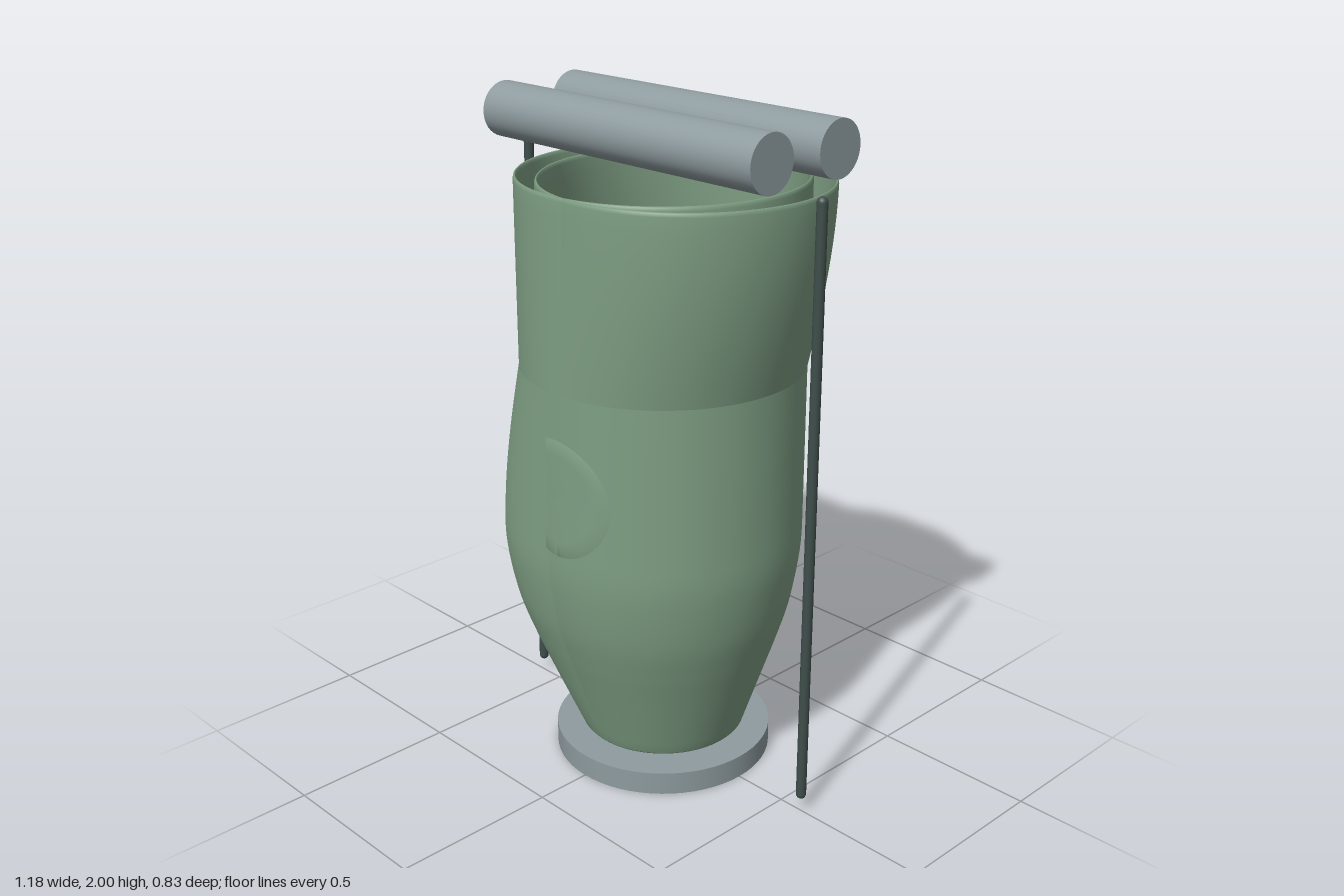
import * as THREE from 'three';
import { mergeVertices } from 'three/addons/utils/BufferGeometryUtils.js';

const material = (color) => new THREE.MeshStandardMaterial({ color });
const green = material(0x7f9f84);
const steel = material(0x8e9b9f);
const dark = material(0x3f4e4a);

const BOTTOM = 0.085, TOP = 1.8, RADIUS = 0.414, WALL = 0.01;

// Sideways sway of the tube's centre line at a given height
const sway = (y) => -0.091 * Math.sin(Math.PI * (y - BOTTOM) / 1.165);

// Thin open tube that narrows at the foot; bend is 0 (straight) or 1 (swaying)
function tubeGeometry(bend) {
  const v = (x, y) => new THREE.Vector2(x, y);
  const taper = new THREE.SplineCurve([
    v(0.25, BOTTOM + 0.006), v(0.319, 0.3), v(0.352, 0.4), v(0.386, 0.52), v(0.411, 0.68), v(RADIUS, 0.8),
  ]).getPoints(24);
  const outer = [...taper];
  for (let i = 1; i <= 24; i++) outer.push(v(RADIUS, 0.8 + (TOP - 0.012 - 0.8) * i / 24));
  const inner = outer.map((p) => v(p.x - WALL, p.y)).reverse();
  const profile = [
    v(0.245, BOTTOM), ...outer,
    v(RADIUS - 0.002, TOP - 0.003), v(RADIUS - 0.005, TOP), v(RADIUS - 0.008, TOP - 0.003),
    ...inner, v(0.245, BOTTOM),
  ];
  let geometry = new THREE.LatheGeometry(profile, 96);
  geometry.deleteAttribute('uv');
  geometry.deleteAttribute('normal');
  geometry = mergeVertices(geometry, 1e-5);
  const pos = geometry.attributes.position;
  for (let i = 0; i < pos.count; i++) pos.setX(i, pos.getX(i) + bend * sway(pos.getY(i)));
  geometry.computeVertexNormals();
  return geometry;
}

// Thin round patch wrapped onto the front of the straight tube
function patchGeometry() {
  const profile = [[0.178, -0.01], [0.176, 0], [0.13, 0], [0.08, 0], [0.04, 0], [0, 0]]
    .map(([x, y]) => new THREE.Vector2(x, y));
  const geometry = new THREE.LatheGeometry(profile, 48).rotateX(Math.PI / 2);
  const pos = geometry.attributes.position;
  const r = RADIUS + 0.002;
  for (let i = 0; i < pos.count; i++) {
    const x = pos.getX(i);
    pos.setZ(i, pos.getZ(i) + Math.sqrt(r * r - x * x));
  }
  geometry.computeVertexNormals();
  return geometry;
}

export function createModel() {
  const model = new THREE.Group();
  model.name = 'tubeAssembly';
  const add = (name, geometry, mat, x = 0, y = 0, z = 0) => {
    const mesh = new THREE.Mesh(geometry, mat);
    mesh.name = name;
    mesh.position.set(x, y, z);
    model.add(mesh);
    return mesh;
  };

  // Base plate
  add('basePlate', new THREE.CylinderGeometry(0.33, 0.33, 0.07, 64), steel, 0, 0.035, 0);

  // Two overlapping tubes and the front patch
  add('straightTube', tubeGeometry(0), green);
  add('swayingTube', tubeGeometry(1), green);
  add('frontPatch', patchGeometry(), green, 0, 0.94, 0);

  // Side rods
  for (const [name, side] of [['leftRod', 1], ['rightRod', -1]]) {
    add(name, new THREE.CapsuleGeometry(0.015, 1.755, 6, 20), dark, side * 0.576, 0.935, 0);
  }

  // Pair of rollers above the opening
  for (const [name, side] of [['frontRoller', 1], ['backRoller', -1]]) {
    const geometry = new THREE.CylinderGeometry(0.08, 0.08, 1.04, 40).rotateZ(Math.PI / 2);
    add(name, geometry, steel, 0, 1.92, side * 0.13);
  }
  return model;
}
